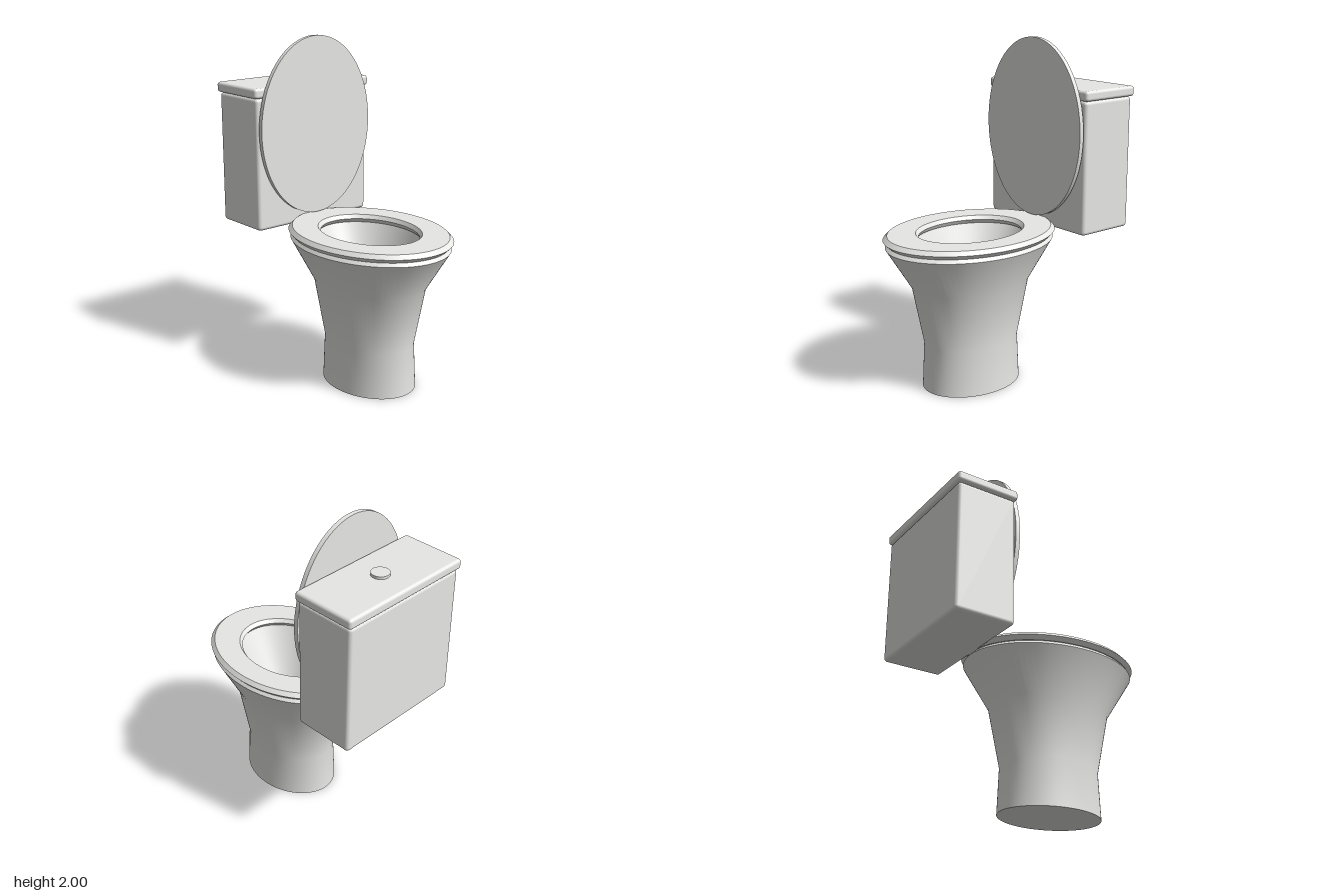
import * as THREE from 'three';
import { toCreasedNormals } from 'three/addons/utils/BufferGeometryUtils.js';
import { RoundedBoxGeometry } from 'three/addons/geometries/RoundedBoxGeometry.js';

const BOWL_Z = 0.17; // centre of the oval bowl
const OVAL = 1.3; // length of the oval relative to its width

export function createModel() {
  const model = new THREE.Group();
  model.name = 'toilet';

  const ceramic = new THREE.MeshStandardMaterial({ color: 0xeaeae8 });
  ceramic.name = 'white ceramic';
  const waterBlue = new THREE.MeshStandardMaterial({ color: 0xcae6f0 });
  waterBlue.name = 'pale blue water';

  function add(name, geometry, material, x, y, z) {
    const mesh = new THREE.Mesh(geometry, material);
    mesh.name = name;
    mesh.position.set(x, y, z);
    model.add(mesh);
    return mesh;
  }

  // Oval turned shape from [half width, height] pairs
  function ovalLathe(profile) {
    const points = profile.map(([r, y]) => new THREE.Vector2(r, y));
    const geometry = new THREE.LatheGeometry(points, 80);
    geometry.scale(1, 1, OVAL);
    return toCreasedNormals(geometry, 0.55);
  }

  // Pedestal and bowl, outside up over the rim and down inside
  add('bowl', ovalLathe([
    [0, 0], [0.24, 0], [0.23, 0.27], [0.285, 0.62], [0.405, 0.865],
    [0.39, 0.885], [0.27, 0.885], [0.147, 0.58], [0, 0.57],
  ]), ceramic, 0, 0, BOWL_Z);

  // Water surface
  const water = new THREE.CircleGeometry(0.147, 64);
  water.rotateX(-Math.PI / 2);
  water.scale(1, 1, OVAL);
  add('water', water, waterBlue, 0, 0.581, BOWL_Z);

  // Seat ring with bevelled inner and outer edges
  add('seat', ovalLathe([
    [0.262, 0.886], [0.395, 0.886], [0.415, 0.91], [0.395, 0.933],
    [0.262, 0.933], [0.248, 0.91], [0.262, 0.886],
  ]), ceramic, 0, 0, BOWL_Z);

  // Raised oval lid
  const lid = new THREE.CylinderGeometry(0.406, 0.406, 0.027, 80);
  lid.rotateX(Math.PI / 2);
  lid.scale(1, 0.53 / 0.406, 1);
  add('lid', lid, ceramic, 0, 1.47, -0.31);

  // Cistern, its cover and the flush button
  add('tank', new RoundedBoxGeometry(0.826, 0.784, 0.368, 4, 0.022), ceramic, 0, 1.274, -0.516);
  add('tankCover', new RoundedBoxGeometry(0.854, 0.06, 0.388, 4, 0.018), ceramic, 0, 1.696, -0.516);
  add('flushButton', new THREE.CylinderGeometry(0.052, 0.052, 0.03, 40), ceramic, 0, 1.727, -0.516);

  return model;
}
